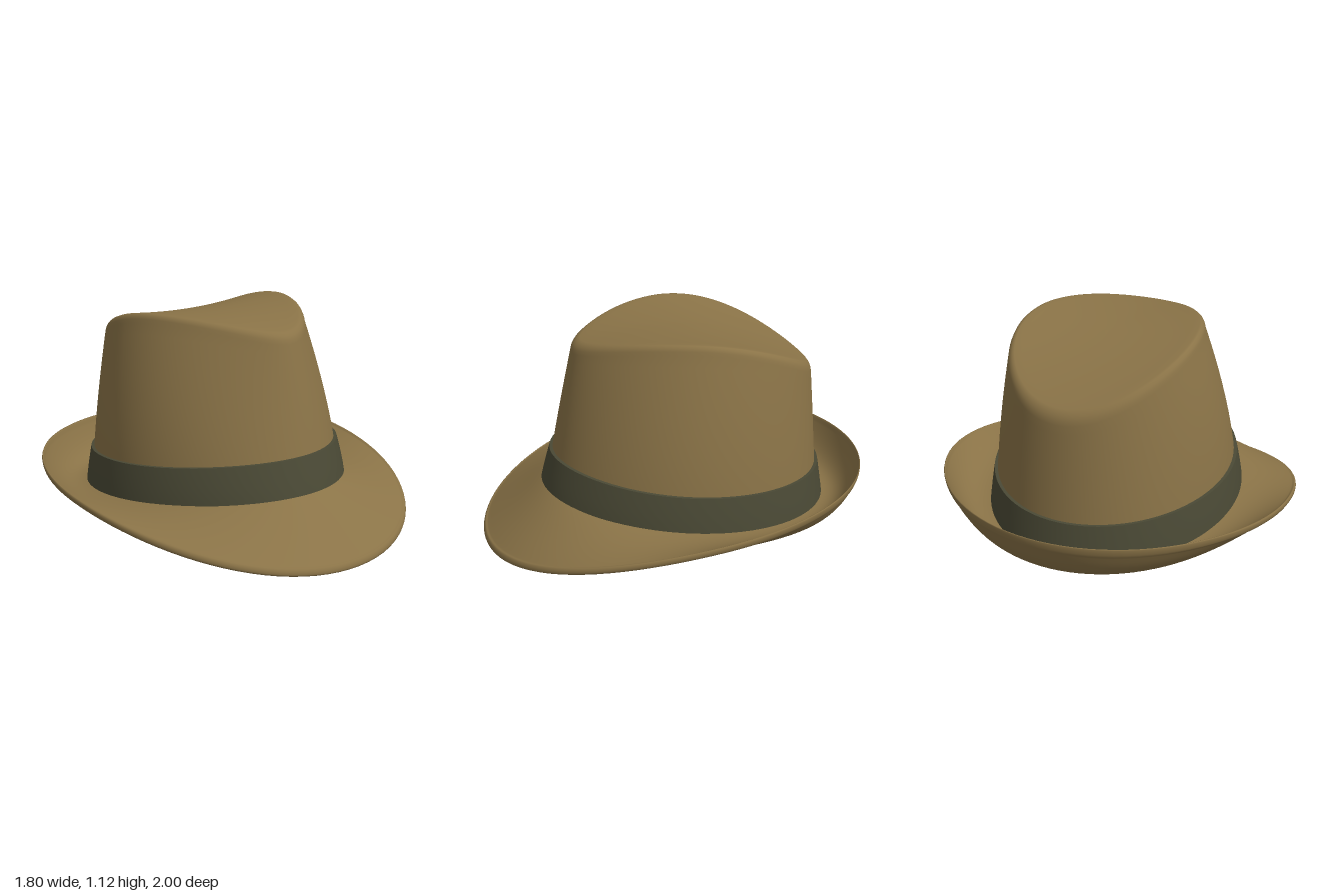
import * as THREE from 'three';

const SEG = 96;
const lerp = THREE.MathUtils.lerp;

// Egg-shaped outline: angle 0 is the front, PI/2 the left side
function egg(a, { c, w, front, back, pinch }) {
  const s = Math.sin(a), k = Math.cos(a);
  const narrow = k > 0 ? 1 - pinch * k * k : 1;
  return [w * s * narrow, c + k * (k > 0 ? front : back)];
}

const BASE = { c: -0.08, w: 0.605, front: 0.73, back: 0.7, pinch: 0.08 };
const TOP = { c: -0.2, w: 0.465, front: 0.71, back: 0.53, pinch: 0.28 };
const RIM = { c: -0.05, w: 0.9, front: 1.05, back: 0.95, pinch: -0.05 };

const baseY = z => 0.222 + 0.1 * z;
const rimY = z => 0.275 - 0.165 * z - 0.09 * z * z;
const topY = z => 1.125 - (z > 0 ? 0.33 : 0.5) * z * z;

// Skin a stack of closed rings; each ring maps an angle to [x, y, z]
function loft(rings) {
  const pos = [], index = [];
  for (const ring of rings) {
    for (let j = 0; j < SEG; j++) {
      const [x, y, z] = ring(j / SEG * Math.PI * 2);
      pos.push(x, y + 0.022 * x, z); // slight sideways tilt
    }
  }
  for (let i = 0; i < rings.length - 1; i++) {
    for (let j = 0; j < SEG; j++) {
      const a = i * SEG + j, b = i * SEG + (j + 1) % SEG;
      index.push(a, b, a + SEG, b, b + SEG, a + SEG);
    }
  }
  const g = new THREE.BufferGeometry();
  g.setAttribute('position', new THREE.Float32BufferAttribute(pos, 3));
  g.setIndex(index);
  g.computeVertexNormals();
  return g;
}

// Crown wall, s from 0 at the brim to 1 at the top edge
function wall(a, s) {
  const [bx, bz] = egg(a, BASE), [tx, tz] = egg(a, TOP);
  const q = Math.pow(s, 1.1 + 0.6 * Math.sin(a) ** 2);
  return [lerp(bx, tx, q), lerp(baseY(bz), topY(tz) - 0.045, s), lerp(bz, tz, q)];
}

// Crown top, r from 1 at the edge to 0 in the dished middle
function cap(a, r, drop) {
  const [tx, tz] = egg(a, TOP);
  const z = TOP.c + (tz - TOP.c) * r;
  return [tx * r, topY(z) - drop, z];
}

// Brim, t from 0 at the crown to 1 at the rim, h above or below its middle
function brimPoint(a, t, h) {
  const [bx, bz] = egg(a, BASE), [rx, rz] = egg(a, RIM);
  const k = Math.cos(a);
  const curl = Math.pow(t, 2 - (k > 0 ? 0.85 : 1.2) * k);
  const y = lerp(baseY(bz), rimY(rz), curl) - 0.01 * Math.sin(Math.PI * t) + h;
  return [lerp(bx, rx, t), y, lerp(bz, rz, t)];
}

// Hat band, f from 0 at its lower edge to 1 at its upper edge
function bandPoint(a, f, offset) {
  const [, bz] = egg(a, BASE), [, tz] = egg(a, TOP);
  const low = baseY(bz), high = topY(tz) - 0.045;
  const s = f * (0.402 + 0.09 * bz - low) / (high - low);
  const [x, y, z] = wall(a, s);
  const d = Math.hypot(x, z + 0.1);
  return [x + x / d * offset, y + 0.004, z + (z + 0.1) / d * offset];
}

export function createModel() {
  const felt = new THREE.MeshStandardMaterial({ color: 0x8a7347 });
  felt.name = 'brownFelt';
  const ribbon = new THREE.MeshStandardMaterial({ color: 0x4a4935 });
  ribbon.name = 'darkRibbon';

  const hat = new THREE.Group();
  hat.name = 'hat';
  const add = (name, rings, material, parent = hat) => {
    const mesh = new THREE.Mesh(loft(rings), material);
    mesh.name = name;
    parent.add(mesh);
  };

  // Crown with rounded edge and dished top
  const crown = [];
  for (let i = 0; i <= 16; i++) crown.push(a => wall(a, i / 16));
  for (const [r, drop] of [[0.993, 0.026], [0.978, 0.011], [0.955, 0.002], [0.93, 0]]) {
    crown.push(a => cap(a, r, drop));
  }
  for (let i = 11; i >= 0; i--) {
    const u = Math.max(i / 12, 0.001);
    crown.push(a => cap(a, 0.93 * u, 0.025 * (1 - u * u)));
  }
  add('crown', crown, felt);

  // Hollow inside of the crown, ending at the brim opening
  const inside = crown.slice(1).reverse().map(ring => a => {
    const [x, y, z] = ring(a);
    return [x * 0.975, y - 0.02, -0.15 + (z + 0.15) * 0.975];
  });
  inside.push(a => brimPoint(a, 0, -0.012));
  add('crownInside', inside, felt);

  // Brim: underside outwards, round the rim bead, then the upper side inwards
  const under = [];
  for (let i = 0; i <= 18; i++) under.push([0.93 * i / 18, 0.012]);
  under.push([0.95, 0.013], [0.965, 0.017], [0.98, 0.016], [0.993, 0.01]);
  add('brim', [
    ...under.map(([t, h]) => a => brimPoint(a, t, -h)),
    a => brimPoint(a, 1, 0),
    ...under.reverse().map(([t, h]) => a => brimPoint(a, t, h)),
  ], felt);

  // Ribbon band with a thin upper lip
  const band = new THREE.Group();
  band.name = 'hatBand';
  hat.add(band);
  const side = [0, 0.2, 0.4, 0.6, 0.8, 1].map(f => a => bandPoint(a, f, lerp(0.034, 0.016, f)));
  add('bandSide', side, ribbon, band);
  add('bandLip', [a => bandPoint(a, 1, 0.016), a => bandPoint(a, 1, -0.004)], ribbon, band);

  return hat;
}
